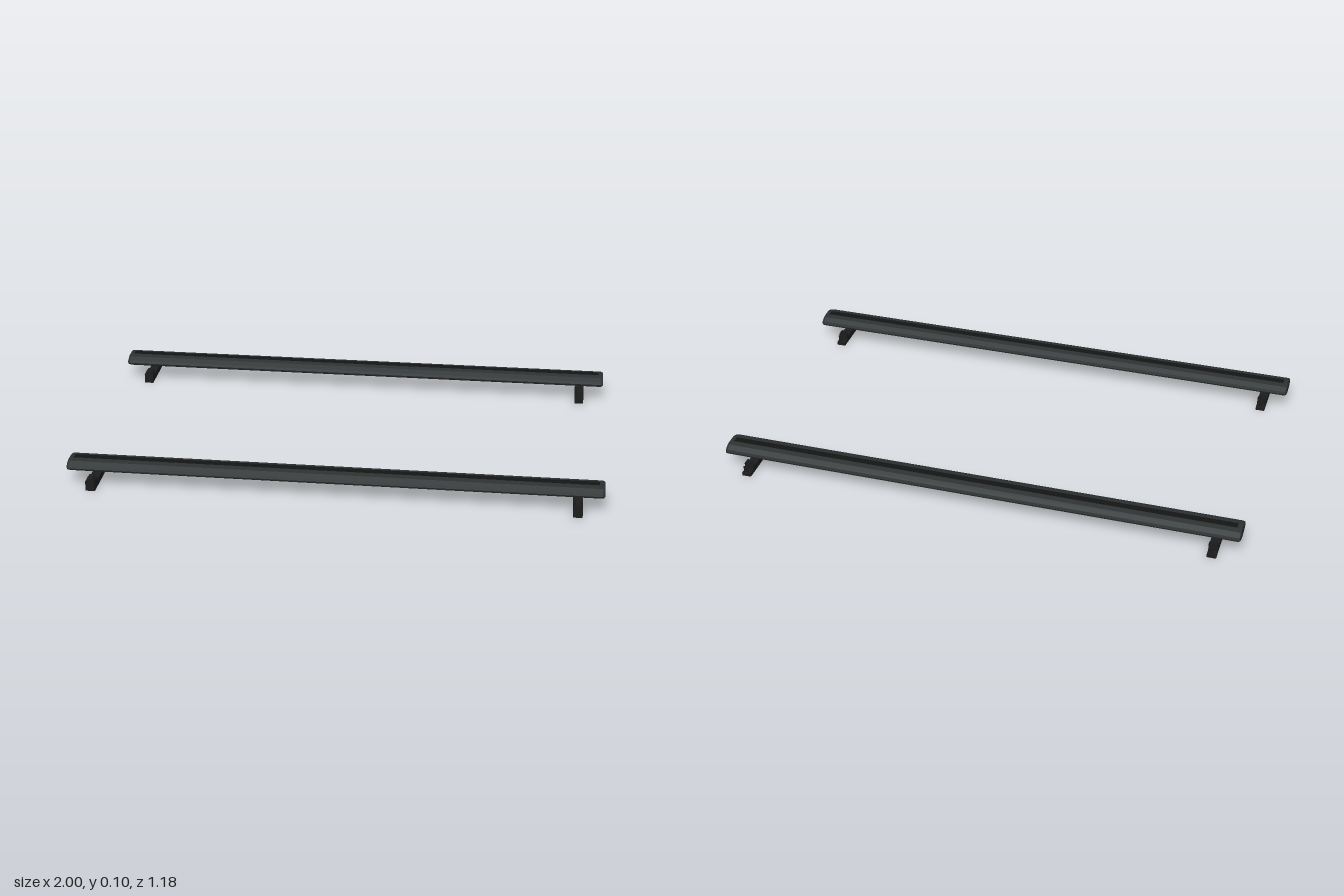
import * as THREE from 'three';

const barMat = new THREE.MeshStandardMaterial({ color: 0x2b3030 });
barMat.name = 'dark grey metal';
const stripMat = new THREE.MeshStandardMaterial({ color: 0x151515 });
stripMat.name = 'black rubber';
const footMat = new THREE.MeshStandardMaterial({ color: 0x1c1c1c });
footMat.name = 'black plastic';

function add(parent, name, geometry, material) {
  const mesh = new THREE.Mesh(geometry, material);
  mesh.name = name;
  parent.add(mesh);
  return mesh;
}

// Box given by its width in x and its y and z ranges
function slab(w, y0, y1, z0, z1) {
  return new THREE.BoxGeometry(w, y1 - y0, z1 - z0).translate(0, (y0 + y1) / 2, (z0 + z1) / 2);
}

// Upright block with a chamfered top, running from z0 to z1
function chamferedBlock(z0, z1) {
  const s = new THREE.Shape([
    [-0.0175, 0], [0.0175, 0], [0.0175, 0.038], [0.009, 0.05], [-0.009, 0.05], [-0.0175, 0.038],
  ].map(p => new THREE.Vector2(...p)));
  return new THREE.ExtrudeGeometry(s, { depth: z1 - z0, bevelEnabled: false }).translate(0, 0, z0);
}

// Flattened wing section swept along x, with rounded ends
function barGeometry() {
  const half = [[0.016, 0.053], [0.035, 0.057], [0.055, 0.068], [0.058, 0.075],
    [0.055, 0.085], [0.035, 0.096], [0.016, 0.1]];
  const pts = [...half, ...half.slice().reverse().map(([z, y]) => [-z, y])];
  const shape = new THREE.Shape(pts.map(p => new THREE.Vector2(...p)));
  const geo = new THREE.ExtrudeGeometry(shape, {
    depth: 1.98, bevelThickness: 0.01, bevelSize: 0.006, bevelOffset: -0.006, bevelSegments: 2,
  });
  return geo.translate(0, 0, -0.99).rotateY(Math.PI / 2);
}

// Mounting foot: base, tall outer block, clamp lip and thin end plate
function createFoot() {
  const foot = new THREE.Group();
  foot.name = 'foot';
  add(foot, 'footBase', slab(0.035, 0, 0.025, -0.057, 0.06), footMat);
  add(foot, 'footTongue', slab(0.035, 0, 0.0125, -0.086, -0.057), footMat);
  add(foot, 'footBlock', chamferedBlock(0.046, 0.086), footMat);
  add(foot, 'clampLip', chamferedBlock(-0.057, -0.045), footMat);
  add(foot, 'endPlate', slab(0.018, 0.018, 0.045, -0.086, -0.085), footMat);
  return foot;
}

function createCrossbar() {
  const crossbar = new THREE.Group();
  crossbar.name = 'crossbar';
  add(crossbar, 'bar', barGeometry(), barMat);
  // Rubber strip let into the top, with two raised ribs
  add(crossbar, 'topStrip', slab(1.96, 0.098, 0.101, -0.013, 0.013), stripMat);
  for (const z of [-0.007, 0.007])
    add(crossbar, 'stripRib', slab(1.96, 0.1, 0.1025, z - 0.002, z + 0.002), stripMat);
  for (const x of [-0.905, 0.905]) {
    const foot = createFoot();
    foot.position.x = x;
    crossbar.add(foot);
  }
  return crossbar;
}

export function createModel() {
  const model = new THREE.Group();
  model.name = 'roofBars';
  // Both bars face the same way
  for (const [name, z] of [['frontCrossbar', 0.505], ['rearCrossbar', -0.505]]) {
    const crossbar = createCrossbar();
    crossbar.name = name;
    crossbar.position.z = z;
    model.add(crossbar);
  }
  return model;
}
